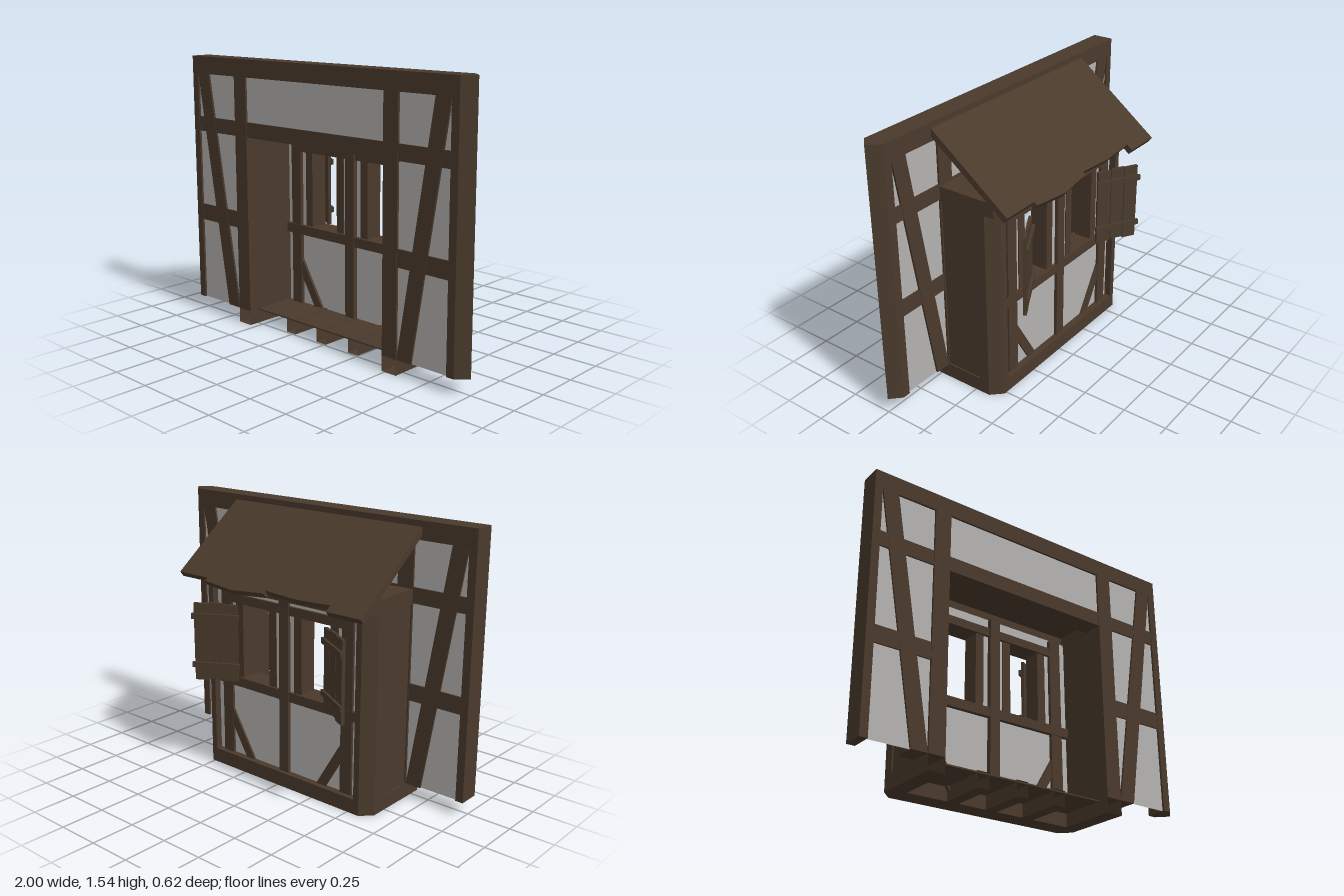
import * as THREE from 'three';

const timber = new THREE.MeshStandardMaterial({ color: 0x4a3a2c, side: THREE.DoubleSide });
timber.name = 'dark timber';
const plaster = new THREE.MeshStandardMaterial({ color: 0xb5b3b1 });
plaster.name = 'grey plaster';

// Mirror lines of the wall frame and of the bay's back framing
const flip = (x) => -0.06 - x;
const flipBay = (x) => -0.065 - x;
const same = (x) => x;

export function createModel() {
  const model = new THREE.Group();

  const add = (name, geometry, material = timber, parent = model) => {
    const mesh = new THREE.Mesh(geometry, material);
    mesh.name = name;
    parent.add(mesh);
    return mesh;
  };
  const box = (name, x0, x1, y0, y1, z0, z1, material, parent) => {
    const g = new THREE.BoxGeometry(Math.abs(x1 - x0), y1 - y0, z1 - z0);
    g.translate((x0 + x1) / 2, (y0 + y1) / 2, (z0 + z1) / 2);
    return add(name, g, material, parent);
  };
  const toShape = (pts) => new THREE.Shape(pts.map(([x, y]) => new THREE.Vector2(x, y)));
  const extrude = (shape, depth) => new THREE.ExtrudeGeometry(shape, { depth, bevelEnabled: false });
  // Outline in x, y pushed through z0..z1
  const upright = (name, pts, z0, z1) => add(name, extrude(toShape(pts), z1 - z0).translate(0, 0, z0));
  // Outline in x, z raised from y0 to y1
  const plan = (pts, y0, y1) =>
    extrude(toShape(pts.map(([x, z]) => [x, -z])), y1 - y0).rotateX(-Math.PI / 2).translate(0, y0, 0);
  // Drops the faces that look forward, leaving a hollow beam
  const openFront = (geometry) => {
    const { position, normal } = geometry.attributes;
    const kept = [];
    for (let i = 0; i < position.count; i += 3) {
      if (normal.getZ(i) < 0.9) kept.push(...position.array.slice(i * 3, i * 3 + 9));
    }
    const g = new THREE.BufferGeometry();
    g.setAttribute('position', new THREE.Float32BufferAttribute(kept, 3));
    g.computeVertexNormals();
    return g;
  };
  // Plaster field: one skin on each side of the wall
  const panel = (name, x0, x1, y0, y1) => {
    for (const [z, turn] of [[0.298, 0], [0.202, Math.PI]]) {
      const g = new THREE.PlaneGeometry(Math.abs(x1 - x0), y1 - y0).rotateY(turn);
      add(name, g.translate((x0 + x1) / 2, (y0 + y1) / 2, z), plaster);
    }
  };

  // Main wall frame, with a pointed right end
  const F = 0.31, B = 0.19;
  const pointed = (x0) => [[x0, B], [0.94, B], [1, 0.25], [0.94, F], [x0, F]];
  add('topBeam', plan(pointed(-1), 1.44, 1.54));
  add('endPost', plan(pointed(0.895), 0.085, 1.44));
  box('endPost', -1, -0.955, 0.085, 1.44, B, F);
  box('upperRail', -0.955, 0.895, 1.105, 1.19, B + 0.003, F - 0.003);
  panel('upperPanel', -0.54, 0.48, 1.19, 1.44);

  for (const m of [same, flip]) {
    // Side fields of the wall
    box('wallPost', m(-0.635), m(-0.54), 0.085, 1.44, B, F);
    box('middleRail', m(-0.955), m(-0.635), 0.57, 0.665, B + 0.003, F - 0.003);
    panel('sidePanel', m(-0.955), m(-0.635), 0.085, 1.44);
    upright('wallBrace', [[m(-0.953), 1.44], [m(-0.86), 1.44], [m(-0.637), 0.085], [m(-0.73), 0.085]],
      B + 0.001, F - 0.001);

    // Bay sides with chamfered corners, on hollow sills
    const corner = (z) => [[m(-0.635), z], [m(-0.635), -0.09], [m(-0.575), -0.152], [m(-0.54), -0.152], [m(-0.54), z]];
    add('bayCornerPost', plan(corner(-0.03), 0.085, 1.1));
    add('baySideSill', openFront(plan(corner(F), 0, 0.085)));
    box('baySideWall', m(-0.627), m(-0.545), 0.085, 1.1, -0.03, B);
    box('baySidePlate', m(-0.635), m(-0.54), 1.1, 1.18, -0.15, B);
  }

  // Bay back framing
  const front = 0, back = -0.127;
  for (const m of [same, flipBay]) {
    box('bayPost', m(-0.502), m(-0.428), 0.085, 1.1, back, front);
    box('windowJamb', m(-0.397), m(-0.345), 0.565, 1.0, -0.118, -0.013);
    box('windowJamb', m(-0.15), m(-0.098), 0.565, 1.0, -0.118, -0.013);
    upright('bayBrace', [[m(-0.428), 0.36], [m(-0.428), 0.255], [m(-0.285), 0.015], [m(-0.237), 0.04]],
      back + 0.003, front - 0.005);
  }
  box('baySill', -0.54, 0.48, 0, 0.085, -0.152, -0.03);
  box('bayMiddleRail', -0.54, 0.48, 0.51, 0.565, back - 0.002, front + 0.005);
  box('bayWindowHead', -0.428, 0.363, 1.0, 1.05, back + 0.001, front - 0.002);
  box('bayCentrePost', -0.065, 0, 0.085, 1.105, back - 0.004, front + 0.008);
  add('bayTopPlate', plan([[-0.635, -0.03], [-0.635, -0.15], [-0.575, -0.21], [0.515, -0.21],
    [0.575, -0.15], [0.575, -0.03]], 1.1, 1.18));
  box('bayCeiling', -0.54, 0.48, 1.16, 1.178, -0.03, B);

  // Bay plaster with two window openings
  const infill = toShape([[-0.57, 0.08], [0.51, 0.08], [0.51, 1.11], [-0.57, 1.11]]);
  for (const [x0, x1] of [[-0.35, -0.145], [0.08, 0.285]]) {
    infill.holes.push(new THREE.Path([[x0, 0.56], [x0, 1.005], [x1, 1.005], [x1, 0.56]]
      .map(([x, y]) => new THREE.Vector2(x, y))));
  }
  add('bayPanel', extrude(infill, 0.092).translate(0, 0, -0.112), plaster);

  // Floor on hollow joists
  box('bayFloor', -0.54, 0.48, 0.077, 0.085, -0.03, 0.24);
  for (const x of [-0.27, -0.03, 0.21]) {
    const outline = [[x - 0.035, -0.04], [x + 0.035, -0.04], [x + 0.035, 0.24], [x - 0.035, 0.24]];
    add('floorJoist', openFront(plan(outline, 0, 0.09)));
  }

  // Lean-to roof with a worn lower edge
  const slope = Math.atan2(0.365, 0.48);
  const edge = [[-0.68, -0.308], [-0.465, -0.308], [-0.465, -0.275], [-0.25, -0.284], [-0.03, -0.274], [-0.03, -0.29],
    [0.18, -0.309], [0.4, -0.292], [0.4, -0.274], [0.617, -0.274]];
  const outline = [...edge, [0.617, B], [-0.68, B]].map(([x, z]) => [x, (z - B) / Math.cos(slope)]);
  const roof = add('roof', plan(outline, -0.036, 0));
  roof.rotation.x = -slope;
  roof.position.set(0, 1.512, 0.195);

  // Plank shutters standing half open
  for (const side of [1, -1]) {
    const shutter = new THREE.Group();
    shutter.name = 'shutter';
    const ends = [[0.555, 1.0], [0.562, 1.008], [0.553, 1.003]];
    ends.forEach(([y0, y1], i) => {
      const x = i * 0.084;
      box('shutterPlank', side * x, side * (x + 0.081), y0, y1, -0.009, 0.009 - (i % 2) * 0.003, timber, shutter);
    });
    for (const y of [0.645, 0.93]) {
      box('shutterBatten', side * -0.01, side * 0.262, y - 0.016, y + 0.016, -0.022, -0.008, timber, shutter);
    }
    shutter.position.set(-0.032 + side * 0.316, 0, -0.158);
    shutter.rotation.y = side * 0.52;
    model.add(shutter);
  }

  return model;
}
